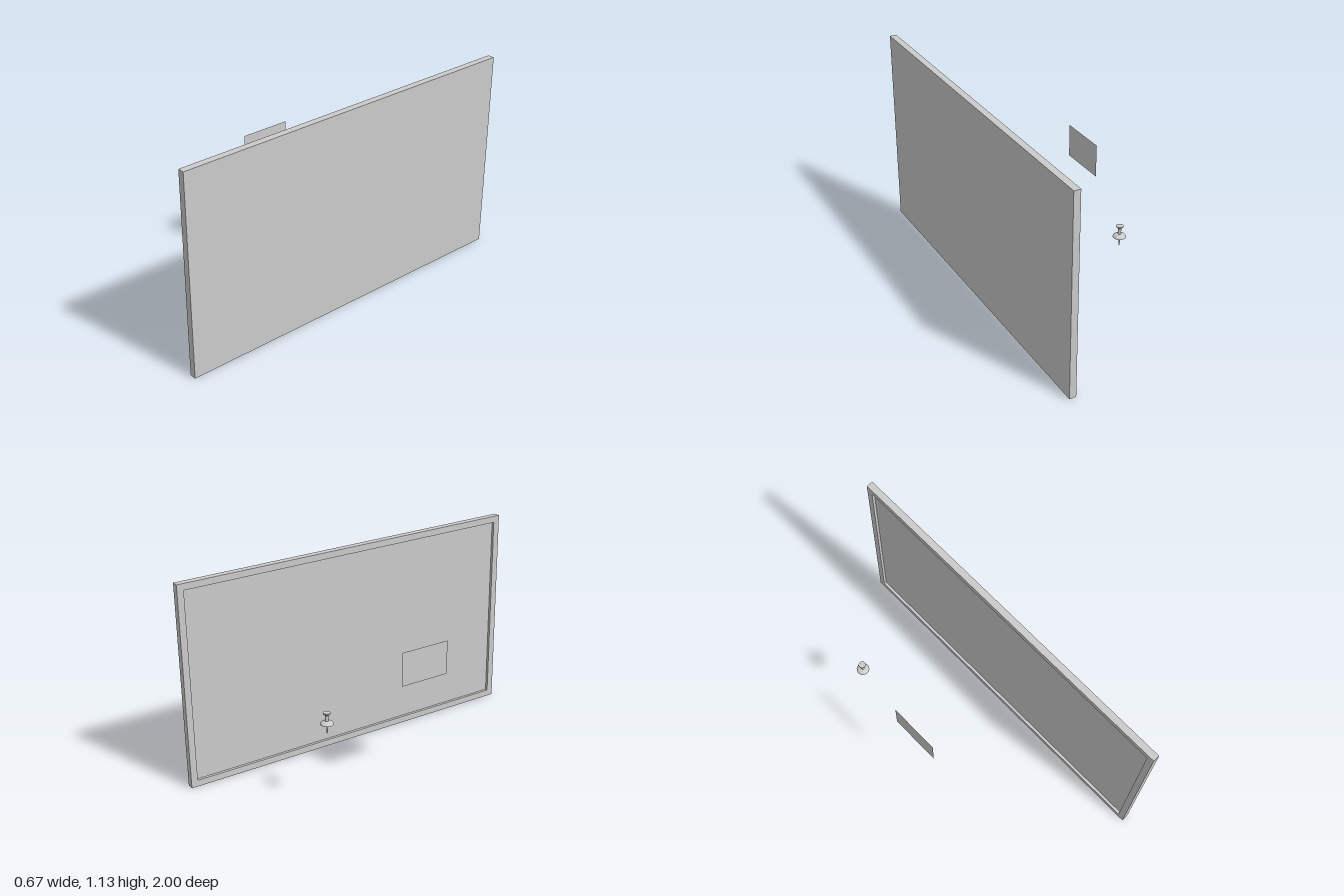
import * as THREE from 'three';
import { toCreasedNormals } from 'three/addons/utils/BufferGeometryUtils.js';

const BACK_X = 0.335, FRONT_X = 0.298, HEIGHT = 1.126, LENGTH = 2;
const RECESS = 0.015, RIM = 0.036;

const material = new THREE.MeshStandardMaterial({ color: 0xcccccc });
const thinMaterial = new THREE.MeshStandardMaterial({ color: 0xcccccc, side: THREE.DoubleSide });

function addMesh(parent, name, geometry, mat = material) {
  const mesh = new THREE.Mesh(geometry, mat);
  mesh.name = name;
  parent.add(mesh);
  return mesh;
}

// Corners of a rectangle inset from the board outline
function outline(inset) {
  const w = LENGTH / 2 - inset, y0 = inset, y1 = HEIGHT - inset;
  return [[-w, y0], [w, y0], [w, y1], [-w, y1]].map(([x, y]) => new THREE.Vector2(x, y));
}

// Smooth turned part with crisp rims
function turned(points) {
  const profile = points.map(([r, y]) => new THREE.Vector2(r, y));
  return toCreasedNormals(new THREE.LatheGeometry(profile, 32), 0.6);
}

function createBoard() {
  const board = new THREE.Group();
  board.name = 'pinboard';

  // Full-size backing whose inner face is the recessed pin surface
  const thickness = BACK_X - FRONT_X - RECESS;
  const panel = addMesh(board, 'boardPanel', new THREE.BoxGeometry(thickness, HEIGHT, LENGTH));
  panel.position.set(BACK_X - thickness / 2, HEIGHT / 2, 0);

  // Raised rim around the pin surface
  const shape = new THREE.Shape(outline(0));
  shape.holes.push(new THREE.Path(outline(RIM).reverse()));
  const rim = addMesh(board, 'boardFrame',
    new THREE.ExtrudeGeometry(shape, { depth: RECESS, bevelEnabled: false }));
  rim.rotation.y = -Math.PI / 2;
  rim.position.x = FRONT_X + RECESS;
  return board;
}

function createPin() {
  const pin = new THREE.Group();
  pin.name = 'pushPin';

  // Needle with a tapered point
  addMesh(pin, 'needle', turned([[0, 0], [0.0035, 0.009], [0.0035, 0.056]]));

  // Domed collar
  const collar = [[0, 0.054], [0.034, 0.054]];
  for (let i = 1; i <= 8; i++) {
    const a = (i / 8) * Math.PI / 2;
    collar.push([0.034 * Math.cos(a), 0.054 + 0.018 * Math.sin(a)]);
  }
  collar[collar.length - 1][0] = 0;
  addMesh(pin, 'collar', turned(collar));

  // Waisted grip and flared cap
  addMesh(pin, 'grip', turned([[0.009, 0.068], [0.0085, 0.088], [0.009, 0.106]]));
  addMesh(pin, 'cap', turned([[0, 0.105], [0.013, 0.105], [0.019, 0.112], [0.019, 0.117], [0, 0.117]]));

  pin.position.set(-0.242, 0.406, -0.5);
  return pin;
}

export function createModel() {
  const model = new THREE.Group();
  model.name = 'pinboardSet';
  model.add(createBoard(), createPin());

  // Flat sheet of note paper, parallel to the board
  const note = addMesh(model, 'notePaper', new THREE.PlaneGeometry(0.278, 0.183), thinMaterial);
  note.rotation.y = -Math.PI / 2;
  note.position.set(-0.335, 0.687, 0.024);
  return model;
}
